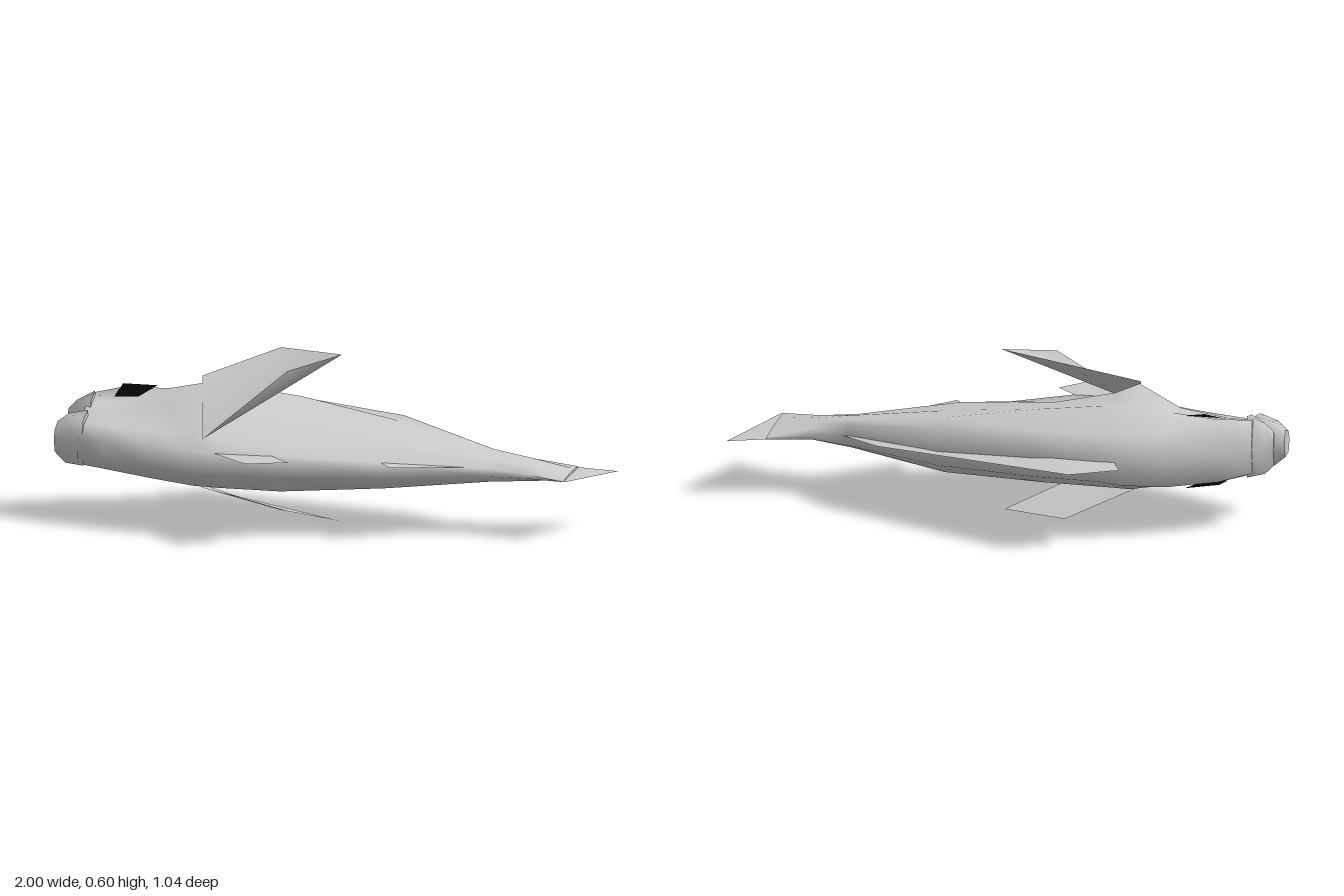
import * as THREE from 'three';

const grey = new THREE.MeshStandardMaterial({ color: 0xcccccc, side: THREE.DoubleSide });
const black = new THREE.MeshStandardMaterial({ color: 0x050505, side: THREE.DoubleSide });

// Smooth skin over equal-sized rings of [x, y, z], with closed ends
function loft(rings) {
  const n = rings[0].length, pos = [], idx = [];
  rings.forEach(r => r.forEach(p => pos.push(...p)));
  for (let i = 0; i < rings.length - 1; i++) {
    for (let j = 0; j < n; j++) {
      const a = i * n + j, b = i * n + (j + 1) % n;
      idx.push(a, a + n, b, b, a + n, b + n);
    }
  }
  const addCap = (ring, front) => {
    const base = pos.length / 3;
    ring.forEach(p => pos.push(...p));
    for (let j = 1; j < n - 1; j++) {
      if (front) idx.push(base, base + j, base + j + 1);
      else idx.push(base, base + j + 1, base + j);
    }
  };
  addCap(rings[0], true);
  addCap(rings[rings.length - 1], false);
  return build(pos, idx);
}

function build(pos, idx) {
  const g = new THREE.BufferGeometry();
  g.setAttribute('position', new THREE.Float32BufferAttribute(pos, 3));
  g.setIndex(idx);
  g.computeVertexNormals();
  return g;
}

// Thin sheet fanned from its first corner
function sheet(points) {
  const idx = [];
  for (let j = 1; j < points.length - 1; j++) idx.push(0, j, j + 1);
  return build(points.flat(), idx);
}

// Height of the middle plane of the body, sinking toward the tail
const keel = x => 0.305 - 0.09 * Math.max(0, (x + 0.2) / 1.05);

// Keel fin outline given as [x, z]
const keelFin = pts => sheet(pts.map(([x, z]) => [x, keel(x), z]));

export function createModel() {
  const model = new THREE.Group();
  const add = (name, geometry, material = grey) => {
    const m = new THREE.Mesh(geometry, material);
    m.name = name;
    model.add(m);
  };

  // Body stations: x, belly z, back z, upper heights, lower heights
  const across = [0.2, 0.5, 0.75, 0.96, 0.96, 0.75, 0.5, 0.2, 0.03];
  const stations = [
    [-0.91, 0.12, -0.14, [0.35, 0.37, 0.40, 0.42], [0.22, 0.20, 0.20, 0.20, 0.23]],
    [-0.80, 0.18, -0.21, [0.345, 0.38, 0.40, 0.435], [0.20, 0.195, 0.185, 0.19, 0.23]],
    [-0.63, 0.25, -0.31, [0.34, 0.41, 0.44, 0.40], [0.20, 0.17, 0.16, 0.17, 0.23]],
    [-0.48, 0.30, -0.36, [0.335, 0.49, 0.46, 0.395], [0.21, 0.15, 0.13, 0.155, 0.22]],
    [-0.39, 0.33, -0.365, [0.33, 0.445, 0.455, 0.395], [0.22, 0.15, 0.125, 0.155, 0.22]],
    [-0.16, 0.33, -0.36, [0.325, 0.39, 0.425, 0.39], [0.22, 0.15, 0.125, 0.15, 0.22]],
    [0.20, 0.215, -0.28, [0.32, 0.34, 0.355, 0.355], [0.21, 0.15, 0.14, 0.16, 0.21]],
    [0.56, 0.09, -0.10, [0.27, 0.285, 0.285, 0.275], [0.20, 0.18, 0.175, 0.185, 0.21]],
    [0.70, 0.105, -0.09, [0.25, 0.26, 0.26, 0.25], [0.21, 0.195, 0.19, 0.195, 0.21]],
    [0.855, 0.16, -0.13, [0.22, 0.222, 0.222, 0.22], [0.212, 0.208, 0.208, 0.21, 0.212]],
  ];
  add('body', loft(stations.map(([x, belly, back, top, bottom]) => {
    const at = (y, i) => [x, y, belly + (back - belly) * across[i]];
    return [
      [x, keel(x), belly],
      ...top.map((y, i) => at(y, i)),
      [x, keel(x), back],
      ...bottom.map((y, i) => at(y, i + 4)),
    ];
  })));

  // Jaws either side of the open mouth: x, belly-side z, back-side z, low y, high y
  const jaw = list => loft(list.map(([x, z0, z1, y0, y1]) => {
    const c = (y0 + y1) / 2, m = (z0 + z1) / 2;
    return [[x, c, z0], [x, y1 - 0.02, z0 + (m - z0) * 0.4], [x, y1, z1 + (m - z1) * 0.4],
      [x, c, z1], [x, y0, z1 + (m - z1) * 0.4], [x, y0, z0 + (m - z0) * 0.4]];
  }));
  add('lowerJaw', jaw([
    [-1.0, 0.08, -0.01, 0.24, 0.34],
    [-0.96, 0.1, -0.015, 0.205, 0.37],
    [-0.89, 0.13, -0.02, 0.2, 0.385],
  ]));
  add('upperJaw', jaw([
    [-0.98, -0.07, -0.1, 0.24, 0.37],
    [-0.95, -0.055, -0.11, 0.21, 0.40],
    [-0.89, -0.02, -0.15, 0.2, 0.43],
  ]));

  // Eyes on both flat sides
  add('upperEye', sheet([[-0.805, 0.445, -0.205], [-0.82, 0.412, -0.12],
    [-0.73, 0.418, -0.1], [-0.68, 0.443, -0.2]]), black);
  add('lowerEye', sheet([[-0.805, 0.192, -0.2], [-0.68, 0.17, -0.2],
    [-0.73, 0.168, -0.1], [-0.82, 0.182, -0.12]]), black);

  // Side fins sweeping out from the gills
  add('upperSideFin', sheet([[-0.44, 0.33, 0.2], [-0.16, 0.56, 0.06],
    [0.01, 0.6, -0.08], [-0.23, 0.6, -0.18], [-0.49, 0.51, -0.06]]));
  add('lowerSideFin', sheet([[-0.44, 0.155, 0.2], [-0.5, 0.12, -0.06],
    [-0.24, 0.015, -0.18], [0.0, 0, -0.08], [-0.16, 0.055, 0.06]]));

  // Fins in the middle plane
  add('backFin', keelFin([[-0.2, -0.33], [-0.45, -0.34], [-0.495, -0.44], [-0.33, -0.525],
    [0.43, -0.22], [0.61, -0.075], [0.2, -0.25]]));
  add('bellyFin', keelFin([[-0.39, 0.31], [-0.225, 0.515], [-0.09, 0.41], [-0.18, 0.31]]));
  add('rearBellyFin', keelFin([[0.2, 0.2], [0.25, 0.285], [0.54, 0.085]]));
  add('tailFin', keelFin([[0.85, 0.16], [0.862, 0.16], [0.995, -0.145], [0.85, -0.13]]));

  return model;
}
